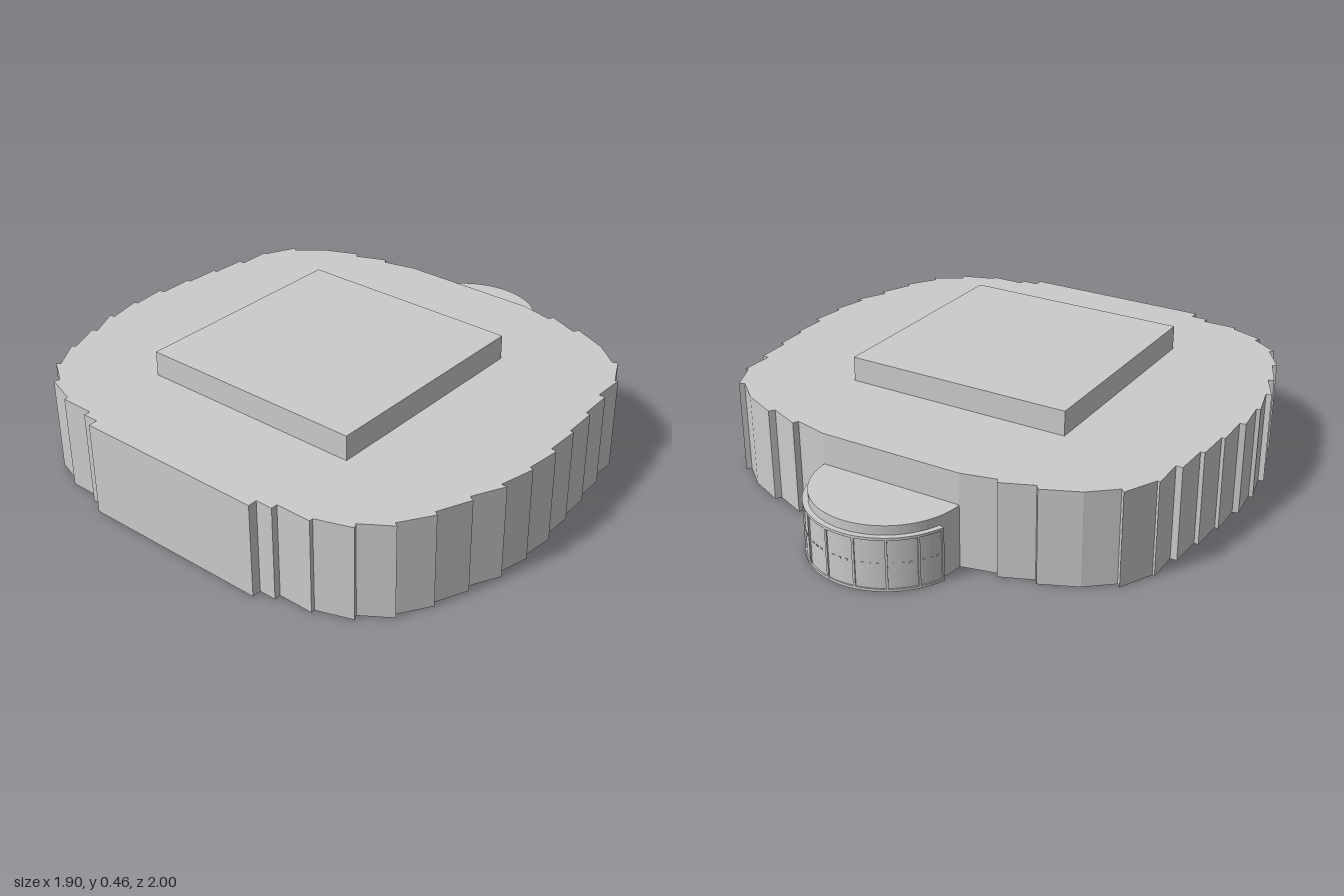
import * as THREE from 'three';

const material = new THREE.MeshStandardMaterial({ color: 0xcccccc, flatShading: true });
const smooth = new THREE.MeshStandardMaterial({ color: 0xcccccc });

// Plan outline (x, z) raised from y0 to y1
function slab(name, shape, y0, y1, mat = material) {
  const geo = new THREE.ExtrudeGeometry(shape, { depth: y1 - y0, bevelEnabled: false, curveSegments: 24 });
  geo.rotateX(Math.PI / 2);
  geo.translate(0, y1, 0);
  const mesh = new THREE.Mesh(geo, mat);
  mesh.name = name;
  return mesh;
}

// Curved strip around the back bay; angles are measured in degrees from straight back
const BAY_Z = -0.7;
function arcStrip(name, rIn, rOut, from, to, y0, y1) {
  const a = THREE.MathUtils.degToRad(from - 90), b = THREE.MathUtils.degToRad(to - 90);
  const shape = new THREE.Shape();
  shape.absarc(0, BAY_Z, rOut, a, b, false);
  shape.absarc(0, BAY_Z, rIn, b, a, true);
  return slab(name, shape, y0, y1, smooth);
}

export function createModel() {
  const group = new THREE.Group();

  // Stepped outer wall, +x half from back to front
  const half = [
    [0.28, -0.70], [0.41, -0.67], [0.42, -0.69], [0.54, -0.64], [0.555, -0.66],
    [0.69, -0.60], [0.785, -0.52], [0.80, -0.535], [0.86, -0.41], [0.87, -0.415],
    [0.868, -0.285], [0.893, -0.285], [0.897, -0.15], [0.913, -0.15], [0.917, -0.015],
    [0.93, -0.015], [0.928, 0.12], [0.95, 0.127], [0.935, 0.26], [0.95, 0.265],
    [0.918, 0.40], [0.94, 0.40], [0.88, 0.52], [0.90, 0.53], [0.845, 0.655],
    [0.86, 0.665], [0.785, 0.78], [0.80, 0.79], [0.695, 0.86], [0.705, 0.88],
    [0.575, 0.925], [0.575, 0.94], [0.44, 0.94], [0.44, 0.965], [0.375, 0.965], [0.375, 1.0],
  ];
  const mirrored = half.map(([x, z]) => [-x, z]).reverse();
  const outline = new THREE.Shape([...half, ...mirrored].map(([x, z]) => new THREE.Vector2(x, z)));
  group.add(slab('mainBuilding', outline, 0, 0.36));

  // Raised roof block
  const roof = new THREE.Mesh(new THREE.BoxGeometry(0.895, 0.095, 0.895), material);
  roof.name = 'roofBlock';
  roof.position.set(0, 0.4075, 0.1625);
  group.add(roof);

  // Half-round bay at the back
  const bay = new THREE.Shape();
  bay.absarc(0, BAY_Z, 0.28, Math.PI, Math.PI * 2, false);
  group.add(slab('backBay', bay, 0, 0.24, smooth));

  // Glazed front of the bay: panes, rails and posts
  const glazing = new THREE.Group();
  glazing.name = 'bayGlazing';
  glazing.add(arcStrip('panes', 0.279, 0.295, -70, 70, 0, 0.2));
  glazing.add(arcStrip('topRail', 0.279, 0.3, -70.5, 70.5, 0.195, 0.205));
  glazing.add(arcStrip('bottomRail', 0.279, 0.3, -70.5, 70.5, 0, 0.01));
  const posts = [-70, -53, -32, -10.5, 10.5, 32, 53, 70];
  posts.forEach((angle) => {
    glazing.add(arcStrip('post', 0.279, 0.3, angle - 0.8, angle + 0.8, 0, 0.2));
  });

  // Short handles at mid height on each pane
  for (let i = 0; i < posts.length - 1; i++) {
    const mid = (posts[i] + posts[i + 1]) / 2;
    for (const offset of [-5, 0, 5]) {
      glazing.add(arcStrip('handle', 0.29, 0.297, mid + offset - 1, mid + offset + 1, 0.102, 0.108));
    }
  }
  group.add(glazing);

  return group;
}
